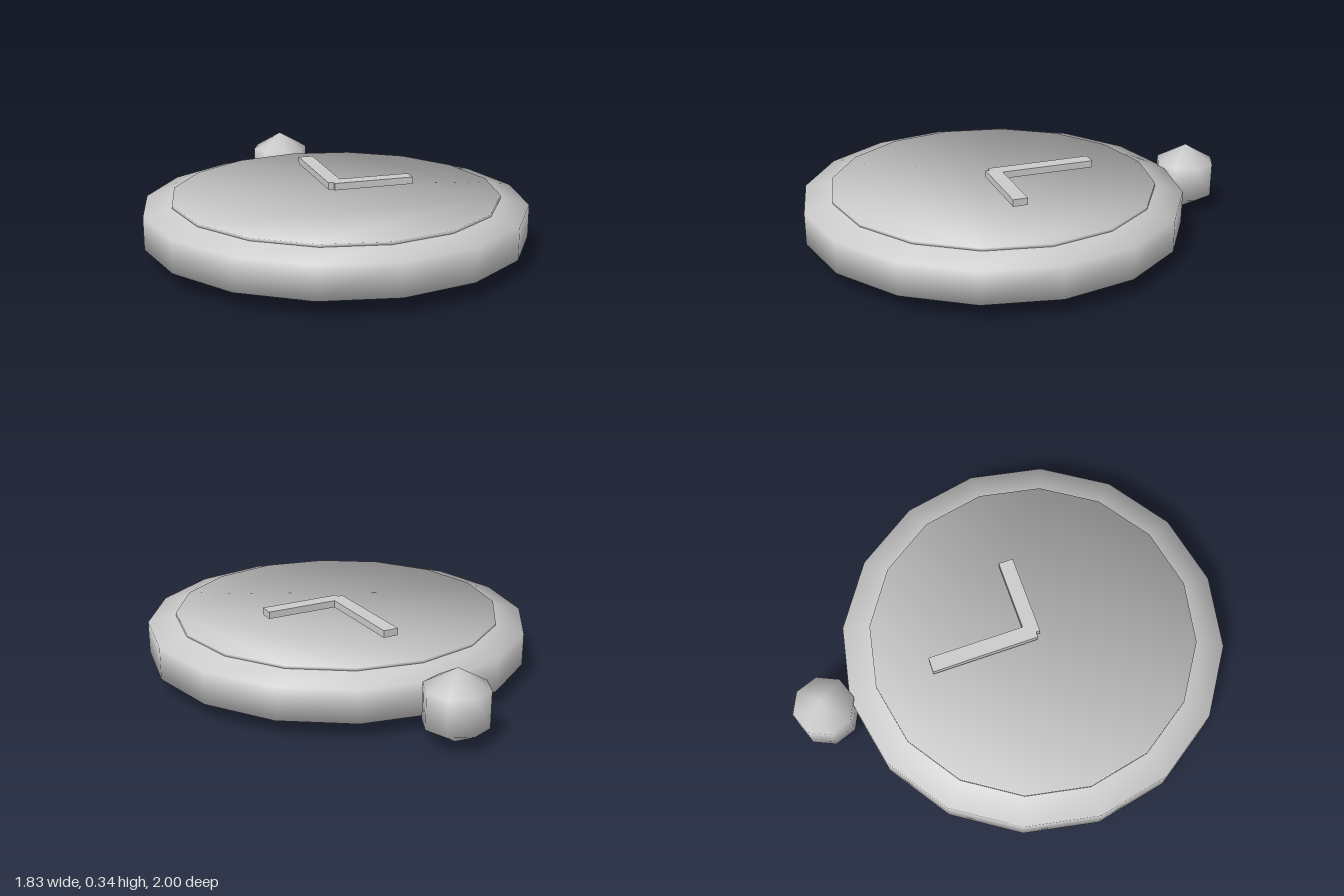
import * as THREE from 'three';

const SIDES = 16;

// Closed 16-sided solid from rings [radius, y, upward lean of the normal], softly shaded across its edges
function ringSolid(rings) {
  const pos = [], nor = [], idx = [];
  for (const [r, y, lean] of rings) {
    for (let i = 0; i < SIDES; i++) {
      const a = (i / SIDES) * Math.PI * 2 - 0.044;
      pos.push(r * Math.cos(a), y, r * Math.sin(a));
      const n = new THREE.Vector3(Math.cos(a), lean, Math.sin(a)).normalize();
      nor.push(n.x, n.y, n.z);
    }
  }
  for (let k = 0; k < rings.length - 1; k++) {
    for (let i = 0; i < SIDES; i++) {
      const j = (i + 1) % SIDES, lo = k * SIDES, hi = lo + SIDES;
      idx.push(lo + i, hi + i, lo + j, hi + i, hi + j, lo + j);
    }
  }
  // flat caps
  const top = (rings.length - 1) * SIDES;
  for (let i = 1; i < SIDES - 1; i++) {
    idx.push(0, i, i + 1, top, top + i + 1, top + i);
  }
  const g = new THREE.BufferGeometry();
  g.setAttribute('position', new THREE.Float32BufferAttribute(pos, 3));
  g.setAttribute('normal', new THREE.Float32BufferAttribute(nor, 3));
  g.setIndex(idx);
  return g;
}

export function createModel() {
  const model = new THREE.Group();
  model.name = 'pocketWatch';
  const grey = new THREE.MeshStandardMaterial({ color: 0xcccccc });
  grey.name = 'light grey';

  const add = (name, geometry, x, y, z) => {
    const mesh = new THREE.Mesh(geometry, grey);
    mesh.name = name;
    mesh.position.set(x, y, z);
    model.add(mesh);
    return mesh;
  };

  // Case with a sloping rim
  add('case', ringSolid([[0.917, 0.08, -0.77], [0.917, 0.235, 0.7], [0.78, 0.265, 2]]), 0, 0, 0.08);

  // Thin dial plate
  add('dial', ringSolid([[0.782, 0.262, -0.77], [0.782, 0.278, 0.77]]), 0, 0, 0.08);

  // Winding knob
  const knob = add('windingKnob', new THREE.SphereGeometry(0.17, 8, 3), -0.44, 0.17, -0.865);
  knob.rotation.y = Math.PI / 8;

  // Both hands in one L-shaped piece, drawn as (x, -z) and laid flat
  const outline = [
    [-0.25, -0.365], [-0.183, -0.395], [0.013, 0.03], [0.33, -0.115],
    [0.36, -0.05], [0.002, 0.115], [-0.005, 0.097], [-0.03, 0.107],
  ].map(([x, z]) => new THREE.Vector2(x, -z));
  const hands = new THREE.ExtrudeGeometry(new THREE.Shape(outline), { depth: 0.034, bevelEnabled: false });
  hands.rotateX(-Math.PI / 2);
  add('hands', hands, 0, 0.294, 0);

  return model;
}
